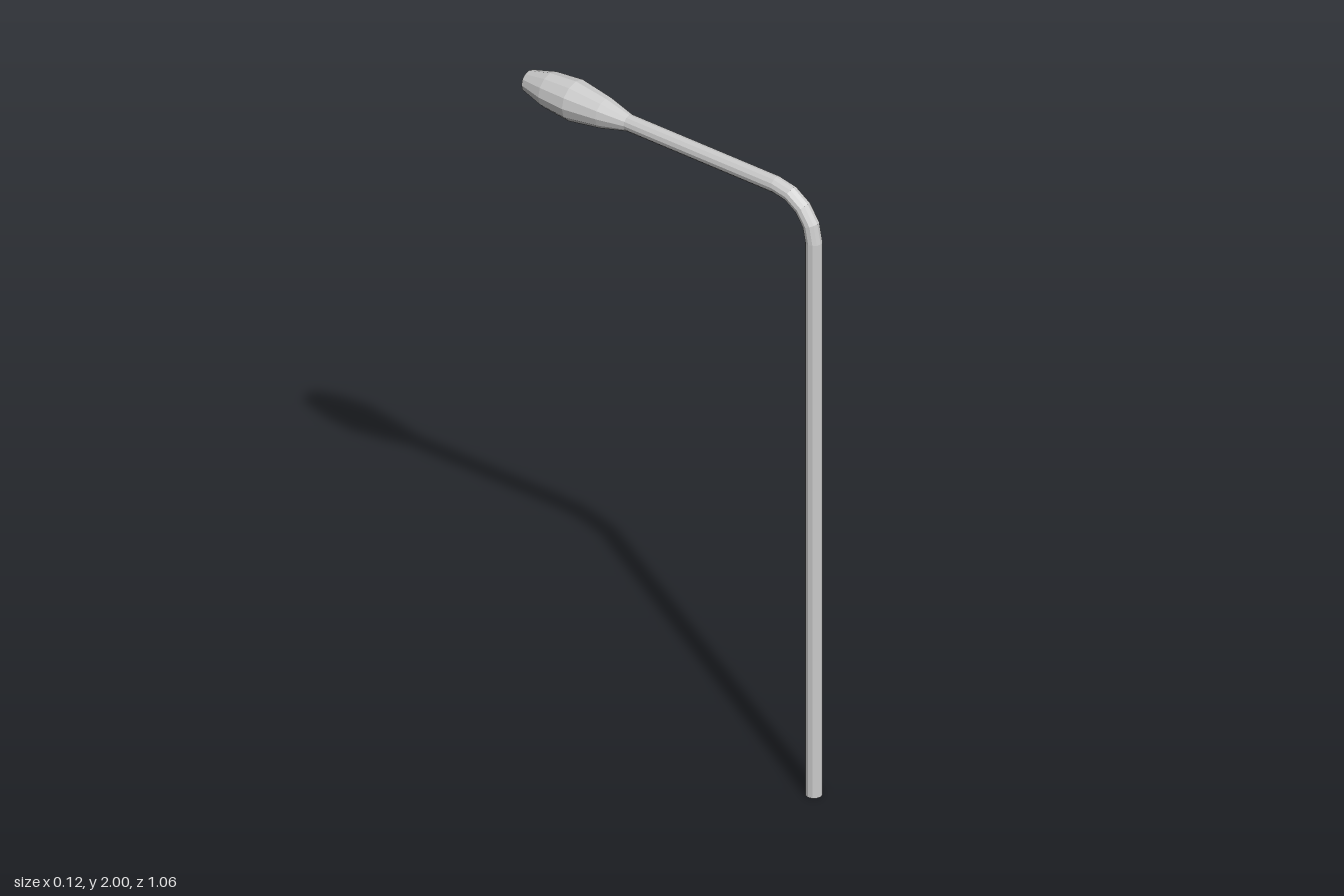
import * as THREE from 'three';

const SIDES = 12;
const R = 0.025;         // pipe radius
const BEND = 0.135;      // bend radius
const POLE_Z = 0.503;
const ARM_Y = 1.938;
const NECK_Z = -0.165;   // where the arm meets the lamp head

export function createModel() {
  const group = new THREE.Group();
  const material = new THREE.MeshStandardMaterial({ color: 0xcccccc, flatShading: true });
  const add = (name, geometry, y, z) => {
    const mesh = new THREE.Mesh(geometry, material);
    mesh.name = name;
    mesh.position.set(0, y, z);
    group.add(mesh);
  };
  const lathe = (points) =>
    new THREE.LatheGeometry(points.map(([r, y]) => new THREE.Vector2(r, y)), SIDES);

  const bendY = ARM_Y - BEND;
  const bendZ = POLE_Z - BEND;

  // Upright pole, closed at the foot
  add('pole', lathe([[0, 0], [R, 0], [R, bendY]]), 0, POLE_Z);

  // Quarter-circle bend from pole to arm
  const bend = new THREE.TorusGeometry(BEND, R, SIDES, 4, Math.PI / 2).rotateY(-Math.PI / 2);
  add('bend', bend, bendY, bendZ);

  // Horizontal arm
  const arm = lathe([[R, 0], [R, bendZ - NECK_Z]]).rotateX(-Math.PI / 2);
  add('arm', arm, ARM_Y, bendZ);

  // Bulging lamp head with a flat end
  const head = lathe([
    [R, 0], [0.046, 0.085], [0.062, 0.193], [0.054, 0.285], [0.033, 0.363], [0, 0.363],
  ]).rotateX(-Math.PI / 2);
  add('lampHead', head, ARM_Y, NECK_Z);

  return group;
}
